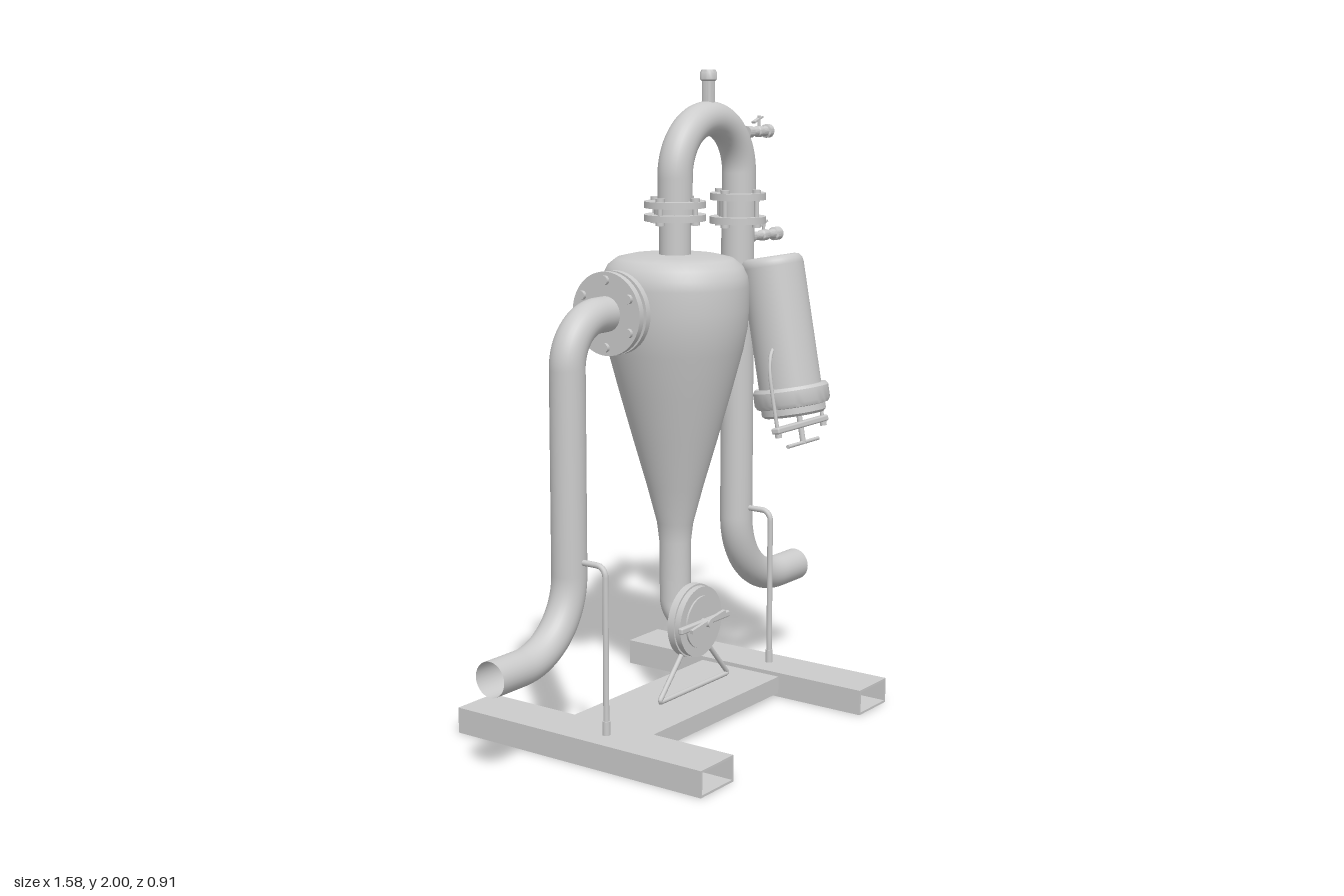
import * as THREE from 'three';
import { RoundedBoxGeometry } from 'three/addons/geometries/RoundedBoxGeometry.js';
import { toCreasedNormals } from 'three/addons/utils/BufferGeometryUtils.js';

const solid = new THREE.MeshStandardMaterial({ color: 0xcccccc });
const open = new THREE.MeshStandardMaterial({ color: 0xcccccc, side: THREE.DoubleSide });
const PZ = -0.073; // depth of the main pipe plane
const V = (x, y, z = 0) => new THREE.Vector3(x, y, z);

function add(parent, name, geometry, x = 0, y = 0, z = 0, material = solid) {
  const mesh = new THREE.Mesh(geometry, material);
  mesh.name = name;
  mesh.position.set(x, y, z);
  parent.add(mesh);
  return mesh;
}

function group(parent, name, x = 0, y = 0, z = 0) {
  const g = new THREE.Group();
  g.name = name;
  g.position.set(x, y, z);
  parent.add(g);
  return g;
}

const cyl = (r, h, seg = 32) => new THREE.CylinderGeometry(r, r, h, seg);

// Turned part from [radius, height] pairs, with sharp edges kept
const lathe = (pts, seg = 48, crease = 0.6) =>
  toCreasedNormals(new THREE.LatheGeometry(pts.map(p => new THREE.Vector2(...p)), seg), crease);

// Tube along a polyline whose inner corners are rounded by the given radii
function bentTube(points, radii, r, steps = 120, seg = 28) {
  const path = new THREE.CurvePath();
  const line = (a, b) => { if (a.distanceTo(b) > 1e-4) path.add(new THREE.LineCurve3(a, b)); };
  let last = points[0];
  for (let i = 1; i < points.length - 1; i++) {
    const p = points[i];
    const a = p.clone().sub(points[i - 1]).normalize();
    const b = points[i + 1].clone().sub(p).normalize();
    const R = radii[i - 1], k = R * 0.4477;
    const start = p.clone().addScaledVector(a, -R), end = p.clone().addScaledVector(b, R);
    line(last, start);
    path.add(new THREE.CubicBezierCurve3(start, p.clone().addScaledVector(a, -k),
      p.clone().addScaledVector(b, k), end));
    last = end;
  }
  line(last, points[points.length - 1]);
  return new THREE.TubeGeometry(path, steps, r, seg, false);
}

// Pair of bolted discs along local y
function flange(parent, name, pos, r, gap, thick, bolts, collar) {
  const g = group(parent, name, ...pos);
  for (const s of [-1, 1]) add(g, 'flangeDisc', cyl(r, thick, 40), 0, s * gap / 2);
  add(g, 'gasket', cyl(collar, gap, 32));
  for (let i = 0; i < bolts; i++) {
    const a = i / bolts * Math.PI * 2;
    const x = Math.cos(a) * r * 0.8, z = Math.sin(a) * r * 0.8;
    add(g, 'bolt', cyl(0.008, gap + thick, 10), x, 0, z);
    for (const s of [-1, 1])
      add(g, 'boltHead', cyl(0.014, 0.012, 12), x, s * (gap / 2 + thick / 2 + 0.005), z);
  }
  return g;
}

// Small sampling tap pointing along +x, with a lever on top
function tap(parent, x, y, len) {
  const g = group(parent, 'samplingTap', x, y, PZ);
  const body = add(g, 'tapBody', lathe([[0, 0], [0.019, 0], [0.019, len * 0.2], [0.014, len * 0.24],
    [0.014, len * 0.45], [0.018, len * 0.48], [0.018, len * 0.62], [0.014, len * 0.66],
    [0.016, len * 0.84], [0.022, len * 0.86], [0.022, len], [0, len]], 20));
  body.rotation.z = -Math.PI / 2;
  add(g, 'tapStem', cyl(0.005, 0.045, 10), len * 0.55, 0.028);
  const lever = add(g, 'tapLever', new THREE.BoxGeometry(0.05, 0.006, 0.014), len * 0.55 - 0.008, 0.038);
  lever.rotation.z = 0.35;
}

export function createModel() {
  const model = new THREE.Group();
  model.name = 'cycloneSeparator';

  // Base frame: two hollow beams and a cross member
  const frame = group(model, 'baseFrame');
  const section = new THREE.Shape([[-0.08, 0], [0.08, 0], [0.08, 0.08], [-0.08, 0.08]]
    .map(p => new THREE.Vector2(...p)));
  section.holes.push(new THREE.Path([[-0.073, 0.007], [-0.073, 0.073], [0.073, 0.073], [0.073, 0.007]]
    .map(p => new THREE.Vector2(...p))));
  const beam = new THREE.ExtrudeGeometry(section, { depth: 0.91, bevelEnabled: false });
  for (const s of [-1, 1]) add(frame, 'sideBeam', beam, s * 0.43, 0, -0.455);
  add(frame, 'crossBeam', new THREE.BoxGeometry(0.7, 0.055, 0.3), 0, 0.04, 0);

  // Cyclone vessel with its outlet neck
  const vessel = add(model, 'cycloneBody', new THREE.LatheGeometry([
    [0.047, 0.4], [0.047, 0.54], [0.054, 0.6], [0.084, 0.72], [0.125, 0.87], [0.165, 1.02],
    [0.198, 1.15], [0.211, 1.22], [0.215, 1.28], [0.215, 1.35], [0.21, 1.38], [0.196, 1.41],
    [0.17, 1.432], [0.13, 1.442], [0.03, 1.444]
  ].map(p => new THREE.Vector2(...p)), 64), 0.09, 0, PZ, open);
  vessel.scale.z = 1.09;
  add(model, 'vesselNeck', cyl(0.049, 0.2), 0.09, 1.5, PZ);
  add(model, 'drainElbow', bentTube([V(0.09, 0.42, PZ), V(0.09, 0.295, PZ), V(0.09, 0.295, 0)],
    [0.06], 0.048, 40), 0, 0, 0, open);

  // Inlet pipe, arch and outlet pipe
  add(model, 'inletPipe', bentTube([V(-0.79, 0.317, PZ), V(-0.435, 0.317, PZ), V(-0.435, 1.295, PZ),
    V(-0.09, 1.295, PZ)], [0.23, 0.14], 0.053, 160), 0, 0, 0, open);
  add(model, 'archPipe', bentTube([V(0.09, 1.54, PZ), V(0.09, 1.85, PZ), V(0.435, 1.85, PZ),
    V(0.435, 1.54, PZ)], [0.1725, 0.1725], 0.054, 120), 0, 0, 0, open);
  add(model, 'outletPipe', bentTube([V(0.43, 1.56, PZ), V(0.43, 0.315, PZ), V(0.79, 0.315, PZ)],
    [0.24], 0.053, 140), 0, 0, 0, open);

  // Flanged joints
  flange(model, 'vesselFlange', [0.09, 1.576, PZ], 0.095, 0.04, 0.02, 4, 0.065);
  flange(model, 'outletFlange', [0.43, 1.564, PZ], 0.09, 0.075, 0.022, 4, 0.062);
  flange(model, 'inletFlange', [-0.228, 1.295, PZ], 0.125, 0.033, 0.02, 6, 0.08).rotation.z = Math.PI / 2;

  // Vent nozzle on the arch and two side taps
  add(model, 'ventNozzle', lathe([[0, 0], [0.02, 0], [0.02, 0.075], [0.027, 0.08], [0.027, 0.1],
    [0.022, 0.11], [0, 0.11]], 24), 0.265, 1.89, PZ);
  tap(model, 0.475, 1.802, 0.13);
  tap(model, 0.475, 1.466, 0.19);

  // Tilted filter canister with screw clamp
  const can = group(model, 'canister', 0.428, 0.955, 0.143);
  can.rotation.x = -0.185;
  add(can, 'canisterBody', new THREE.LatheGeometry([[0.1, 0], [0.1, 0.44], [0.097, 0.455],
    [0.089, 0.466], [0.075, 0.47], [0, 0.47]].map(p => new THREE.Vector2(...p)), 48));
  add(can, 'canisterCollar', lathe([[0.1, 0.055], [0.114, 0.055], [0.121, 0.045], [0.121, 0.005],
    [0.114, -0.008], [0.103, -0.01], [0.103, -0.03], [0.095, -0.038], [0, -0.038]].reverse(), 48));
  const clamp = group(can, 'canisterClamp', 0, 0, 0.018);
  add(clamp, 'clampBar', new RoundedBoxGeometry(0.295, 0.02, 0.03, 2, 0.006), 0, -0.072);
  add(clamp, 'clampScrew', cyl(0.009, 0.1, 14), 0, -0.083);
  const handle = add(clamp, 'clampHandle', cyl(0.006, 0.18, 12), 0, -0.13);
  handle.rotation.z = Math.PI / 2;
  for (const s of [-1, 1]) {
    const bail = new THREE.CatmullRomCurve3([V(s * 0.09, 0.185), V(s * 0.112, 0.16),
      V(s * 0.128, 0.11), V(s * 0.132, 0.04), V(s * 0.132, -0.095)]);
    add(clamp, 'clampRod', new THREE.TubeGeometry(bail, 30, 0.006, 10));
    add(clamp, 'clampNut', cyl(0.012, 0.014, 6), s * 0.132, -0.088);
  }

  // Drain valve: round door, crossbar and lever
  const valve = group(model, 'drainValve', 0.085, 0.295, 0);
  const door = [[0, -0.013, 0.117], [0, 0.012, 0.112], [0, 0.026, 0.083]];
  const depth = [0.024, 0.02, 0.012];
  door.forEach(([, z, r], i) => {
    add(valve, 'doorDisc', cyl(r, depth[i], 48), 0, 0, z + depth[i] / 2).rotation.x = Math.PI / 2;
  });
  add(valve, 'doorBar', new RoundedBoxGeometry(0.26, 0.02, 0.018, 2, 0.005), 0, 0, 0.044);
  add(valve, 'doorLever', new THREE.BoxGeometry(0.18, 0.012, 0.012), 0, 0.004, 0.058).rotation.z = 0.14;
  add(valve, 'doorPin', cyl(0.012, 0.05, 14), 0, 0, 0.045).rotation.x = Math.PI / 2;

  // Bent-rod stand beneath the valve
  add(model, 'valveStand', bentTube([V(0.085, 0.076, 0.008), V(-0.105, 0.076, 0.008), V(0.012, 0.2, 0.008)],
    [0.012], 0.008, 50, 10));
  add(model, 'valveStand', bentTube([V(0.085, 0.076, 0.008), V(0.268, 0.076, 0.008), V(0.155, 0.2, 0.008)],
    [0.012], 0.008, 50, 10));

  // Hooked support posts for the two pipes
  for (const x of [-0.433, 0.431]) {
    const post = group(model, 'pipeSupport', x, 0, 0);
    add(post, 'supportRod', bentTube([V(0, 0.07, 0.06), V(0, 0.588, 0.06), V(0, 0.588, -0.03)],
      [0.03], 0.009, 60, 14));
    add(post, 'supportFoot', cyl(0.012, 0.045, 16), 0, 0.1, 0.06);
  }
  return model;
}
